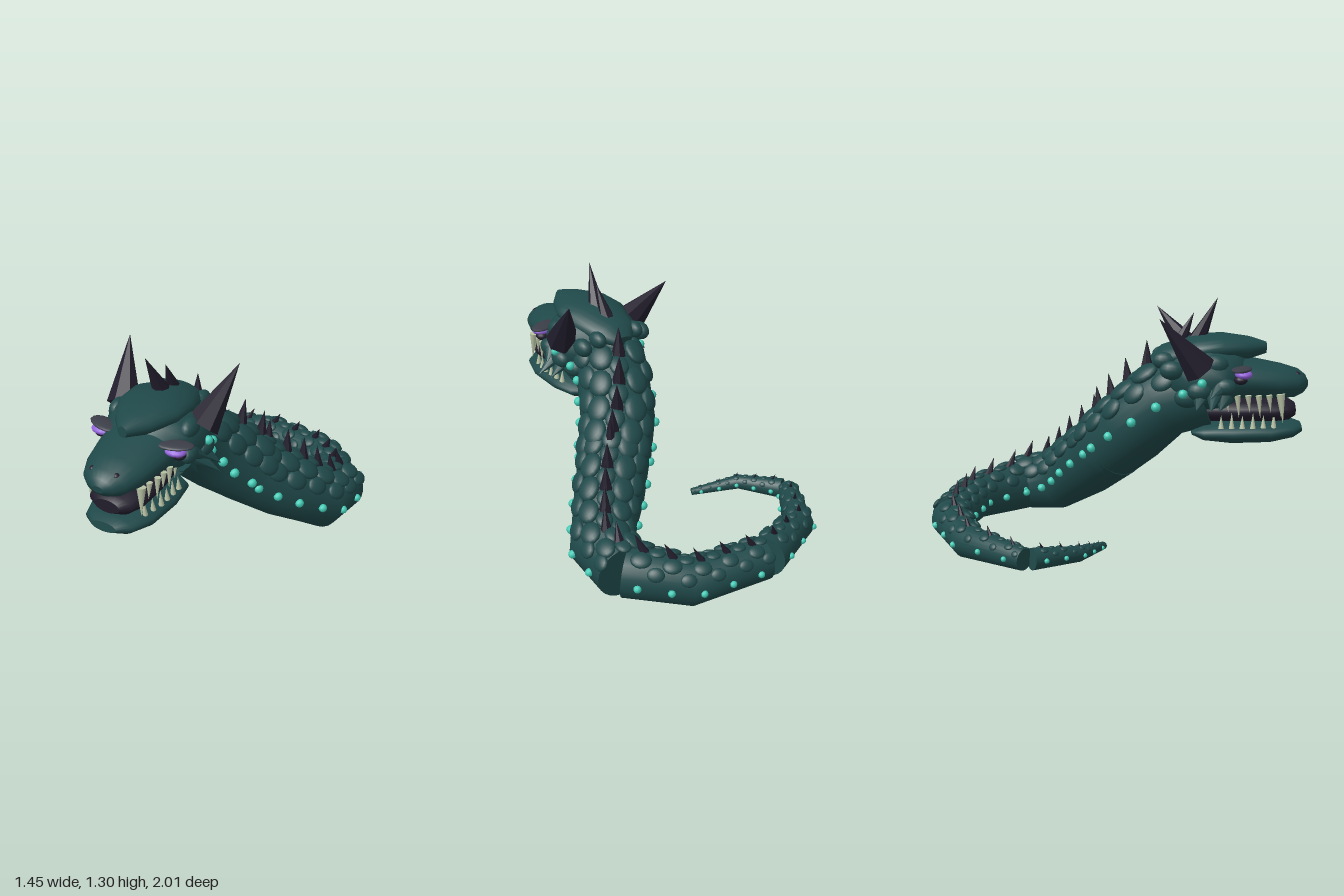
import * as THREE from 'three';

const V = (x, y, z) => new THREE.Vector3(x, y, z);
const mat = (name, color, extra = {}) => {
  const m = new THREE.MeshStandardMaterial({ color, ...extra });
  m.name = name;
  return m;
};

// Frame at a point: side, up and tangent form a right-handed basis.
function frame(t) {
  const side = V(0, 1, 0).cross(t).normalize();
  return { t, side, up: t.clone().cross(side).normalize() };
}

// A path of rows [x, y, z, rx, ry]; at(u) gives position, radius and frame.
function makePath(rows) {
  const p = rows.map(r => V(r[0], r[1], r[2])), n = p.length;
  const dir = i => p[i + 1].clone().sub(p[i]).normalize();
  const tan = p.map((_, i) => i === 0 ? dir(0) : i === n - 1 ? dir(n - 2)
    : dir(i - 1).add(dir(i)).normalize());
  let length = 0;
  const starts = p.map((q, i) => (length += i ? q.distanceTo(p[i - 1]) : 0));
  const at = d => {
    let i = 0;
    while (i < n - 2 && starts[i + 1] < d) i++;
    const f = (d - starts[i]) / (starts[i + 1] - starts[i]);
    return {
      pos: p[i].clone().lerp(p[i + 1], f),
      r: rows[i][3] + (rows[i + 1][3] - rows[i][3]) * f,
      ...frame(tan[i].clone().lerp(tan[i + 1], f).normalize()),
    };
  };
  return { rows, p, tan, length, at };
}

// Capped loft through the elliptical rings of a path.
function loft(path, sides = 24) {
  const pos = [], idx = [], n = path.p.length;
  const ring = i => {
    const { side, up } = frame(path.tan[i]), row = path.rows[i];
    for (let j = 0; j < sides; j++) {
      const a = j / sides * Math.PI * 2;
      const q = path.p[i].clone().addScaledVector(side, Math.cos(a) * row[3])
        .addScaledVector(up, Math.sin(a) * (row[4] ?? row[3]));
      pos.push(q.x, q.y, q.z);
    }
  };
  for (let i = 0; i < n; i++) ring(i);
  for (let i = 0; i < n - 1; i++) for (let j = 0; j < sides; j++) {
    const k = (j + 1) % sides, a = i * sides, b = a + sides;
    idx.push(a + j, a + k, b + j, a + k, b + k, b + j);
  }
  for (const i of [0, n - 1]) {
    const base = pos.length / 3;
    ring(i);
    pos.push(path.p[i].x, path.p[i].y, path.p[i].z);
    for (let j = 0; j < sides; j++) {
      const k = (j + 1) % sides;
      idx.push(base + sides, base + (i ? j : k), base + (i ? k : j));
    }
  }
  const g = new THREE.BufferGeometry();
  g.setAttribute('position', new THREE.Float32BufferAttribute(pos, 3));
  g.setIndex(idx);
  g.computeVertexNormals();
  return g;
}

export function createModel() {
  const root = new THREE.Group();
  root.name = 'seaSerpent';
  const hide = mat('deepTealHide', 0x20494a);
  const horn = mat('darkHorn', 0x211d2c);
  const hornFlat = mat('darkHornFaceted', 0x211d2c, { flatShading: true });
  const glow = mat('turquoise', 0x40cbb5);
  const purple = mat('purpleEye', 0x9060d8);
  const ivory = mat('paleTooth', 0xb9c4a6);
  const grey = mat('greyBrow', 0x3b3e48);

  const ball = new THREE.SphereGeometry(1, 14, 10);
  const gem = new THREE.IcosahedronGeometry(1, 1);
  const cone = new THREE.ConeGeometry(1, 1, 7);
  const tooth = new THREE.ConeGeometry(1, 1, 8);

  const add = (name, geo, m, parent = root) => {
    const mesh = new THREE.Mesh(geo, m);
    mesh.name = name;
    parent.add(mesh);
    return mesh;
  };
  const blob = (name, m, c, s, parent = root) => {
    const b = add(name, ball, m, parent);
    b.position.set(...c);
    b.scale.set(...s);
    return b;
  };
  // Cone running from a base point to a tip.
  const spike = (name, m, base, tip, r, parent = root, geo = cone) => {
    const s = add(name, geo, m, parent), d = tip.clone().sub(base);
    s.position.copy(base).addScaledVector(d, 0.5);
    s.quaternion.setFromUnitVectors(V(0, 1, 0), d.clone().normalize());
    s.scale.set(r, d.length(), r);
    return s;
  };

  // Body in separate overlapping lengths, from neck to tail tip
  const lengths = [
    ['upperNeck', 0.14, [[0, 0.81, 0.45, 0.2], [0.02, 0.75, 0.25, 0.2], [0.11, 0.58, 0.08, 0.2], [0.24, 0.44, -0.06, 0.195]]],
    ['lowerNeck', 0.135, [[0.2, 0.47, -0.02, 0.19], [0.36, 0.32, -0.18, 0.185], [0.54, 0.17, -0.36, 0.165], [0.565, 0.147, -0.58, 0.145]]],
    ['hindBody', 0.165, [[0.54, 0.142, -0.57, 0.14], [0.33, 0.12, -0.82, 0.118], [-0.08, 0.125, -0.89, 0.108]]],
    ['upperTail', 0.165, [[-0.1, 0.125, -0.89, 0.105], [-0.46, 0.108, -0.75, 0.084], [-0.68, 0.087, -0.445, 0.056]]],
    ['tailTip', 0.1, [[-0.667, 0.085, -0.41, 0.055], [-0.535, 0.07, -0.188, 0.04], [-0.29, 0.036, -0.07, 0.019]]],
  ];
  for (const [name, step, rows] of lengths) {
    const part = new THREE.Group();
    part.name = name;
    root.add(part);
    const path = makePath(rows);
    add(name + 'Skin', loft(path), hide, part);
    const count = Math.max(2, Math.round(path.length / step));

    // Place something on the skin, at an angle from the spine
    const onSkin = (d, angle, fn) => {
      const f = path.at(d);
      const normal = f.up.clone().multiplyScalar(Math.cos(angle)).addScaledVector(f.side, Math.sin(angle));
      fn(f, normal, f.pos.clone().addScaledVector(normal, f.r));
    };
    const scale = (d, angle, size) => onSkin(d, angle, (f, nrm, q) => {
      const s = add('scale', ball, hide, part);
      s.quaternion.setFromRotationMatrix(new THREE.Matrix4().makeBasis(nrm.clone().cross(f.t), nrm, f.t));
      s.position.copy(q);
      s.scale.set(f.r * 0.33 * size, f.r * 0.16 * size, f.r * 0.4 * size);
    });
    for (let i = 0; i < count; i++) {
      const d = (i + 0.5) / count * path.length;
      const half = Math.min(d + path.length / count / 2, path.length * 0.97);
      onSkin(d, 0, (f, nrm, q) => {
        const dir = nrm.clone().addScaledVector(f.t, -0.55).normalize();
        spike('backSpine', hornFlat, q.clone().addScaledVector(dir, -0.02),
          q.clone().addScaledVector(dir, f.r * 0.72), f.r * 0.2, part);
      });
      for (const side of [-1, 1]) {
        scale(d, side * 0.5, 1);
        scale(half, side * 0.95, 0.85);
        onSkin(d, side * 1.6, (f, nrm, q) => {
          const g = add('glowSpot', gem, glow, part);
          g.position.copy(q);
          g.scale.setScalar(0.009 + f.r * 0.085);
        });
      }
      scale(half, 0, 0.8);
    }
  }

  // Head
  const head = new THREE.Group();
  head.name = 'head';
  root.add(head);
  const zLoft = (name, m, rows) => add(name, loft(makePath(rows.map(([z, y, rx, ry]) => [0, y, z, rx, ry]))), m, head);
  blob('skull', hide, [0, 0.89, 0.46], [0.265, 0.19, 0.25], head);
  zLoft('snout', hide, [[0.5, 0.89, 0.21, 0.13], [0.7, 0.875, 0.19, 0.105], [0.85, 0.858, 0.16, 0.092],
    [0.94, 0.848, 0.12, 0.075], [0.98, 0.843, 0.075, 0.05], [1, 0.84, 0.03, 0.02]]);
  zLoft('lowerJaw', hide, [[0.39, 0.59, 0.08, 0.02], [0.45, 0.595, 0.165, 0.05], [0.6, 0.597, 0.188, 0.067],
    [0.8, 0.598, 0.178, 0.062], [0.92, 0.607, 0.135, 0.047], [0.97, 0.612, 0.07, 0.025]]);
  zLoft('mouthInterior', horn, [[0.45, 0.71, 0.12, 0.07], [0.65, 0.71, 0.145, 0.066], [0.82, 0.708, 0.145, 0.064],
    [0.9, 0.708, 0.12, 0.055], [0.935, 0.708, 0.07, 0.035]]);
  zLoft('crest', hide, [[0.78, 1.035, 0.025, 0.03], [0.69, 1.035, 0.1, 0.058], [0.55, 1.04, 0.17, 0.072],
    [0.42, 1.03, 0.18, 0.075], [0.25, 0.985, 0.13, 0.065], [0.18, 0.96, 0.06, 0.03]].reverse());

  // Centre horns
  spike('centreHorn', hornFlat, V(0, 1.06, 0.41), V(-0.03, 1.3, 0.52), 0.05, head);
  spike('rearCentreHorn', hornFlat, V(0, 1.03, 0.31), V(0.01, 1.22, 0.4), 0.045, head);

  for (const s of [-1, 1]) {
    const S = (x, y, z) => V(s * x, y, z);
    spike('sideHorn', hornFlat, S(0.225, 0.95, 0.42), S(0.315, 1.22, 0.21), 0.088, head);
    blob('eye', purple, [s * 0.205, 0.922, 0.645], [0.06, 0.024, 0.045], head);
    blob('eyeSocket', horn, [s * 0.22, 0.896, 0.63], [0.035, 0.024, 0.035], head);
    const brow = blob('brow', grey, [s * 0.2, 0.947, 0.635], [0.095, 0.014, 0.05], head);
    brow.rotation.y = s * 0.35;
    blob('nostril', horn, [s * 0.065, 0.9, 0.935], [0.018, 0.016, 0.02], head);

    // Cheek scales, glowing spots and swept frill
    for (const [x, y, z, r] of [[0.23, 0.86, 0.55, 0.06], [0.24, 0.84, 0.42, 0.065], [0.2, 0.97, 0.5, 0.07],
      [0.19, 0.94, 0.28, 0.065], [0.2, 0.8, 0.36, 0.07], [0.12, 0.98, 0.24, 0.06]])
      blob('cheekScale', hide, [s * x, y, z], [r * 0.65, r * 0.75, r], head);
    for (const [x, y, z] of [[0.265, 0.885, 0.43], [0.235, 0.825, 0.335]]) {
      const g = add('glowSpot', gem, glow, head);
      g.position.copy(S(x, y, z));
      g.scale.setScalar(0.024);
    }
    for (const [y, z, tx, ty, tz] of [[0.87, 0.54, 0.3, 0.81, 0.47], [0.83, 0.5, 0.355, 0.755, 0.47],
      [0.82, 0.43, 0.32, 0.755, 0.4], [0.8, 0.55, 0.26, 0.74, 0.52]])
      spike('cheekFrill', hide, S(0.21, y, z), S(tx, ty, tz), 0.052, head);

    // Teeth along both jaws, with longer fangs in front
    for (let i = 0; i < 6; i++) {
      const z = 0.84 - i * 0.055, x = 0.135 + 0.012 * Math.min(i, 2), long = i % 2 ? 0 : 0.03;
      spike('upperTooth', ivory, S(x, 0.805, z), S(x, 0.715 - long, z + 0.01), 0.017, head, tooth);
      spike('lowerTooth', ivory, S(x, 0.63, z - 0.027), S(x - 0.005, 0.7 + long / 2, z - 0.027), 0.015, head, tooth);
    }
    spike('fang', ivory, S(0.14, 0.81, 0.845), S(0.145, 0.655, 0.86), 0.024, head, tooth);
  }
  return root;
}
